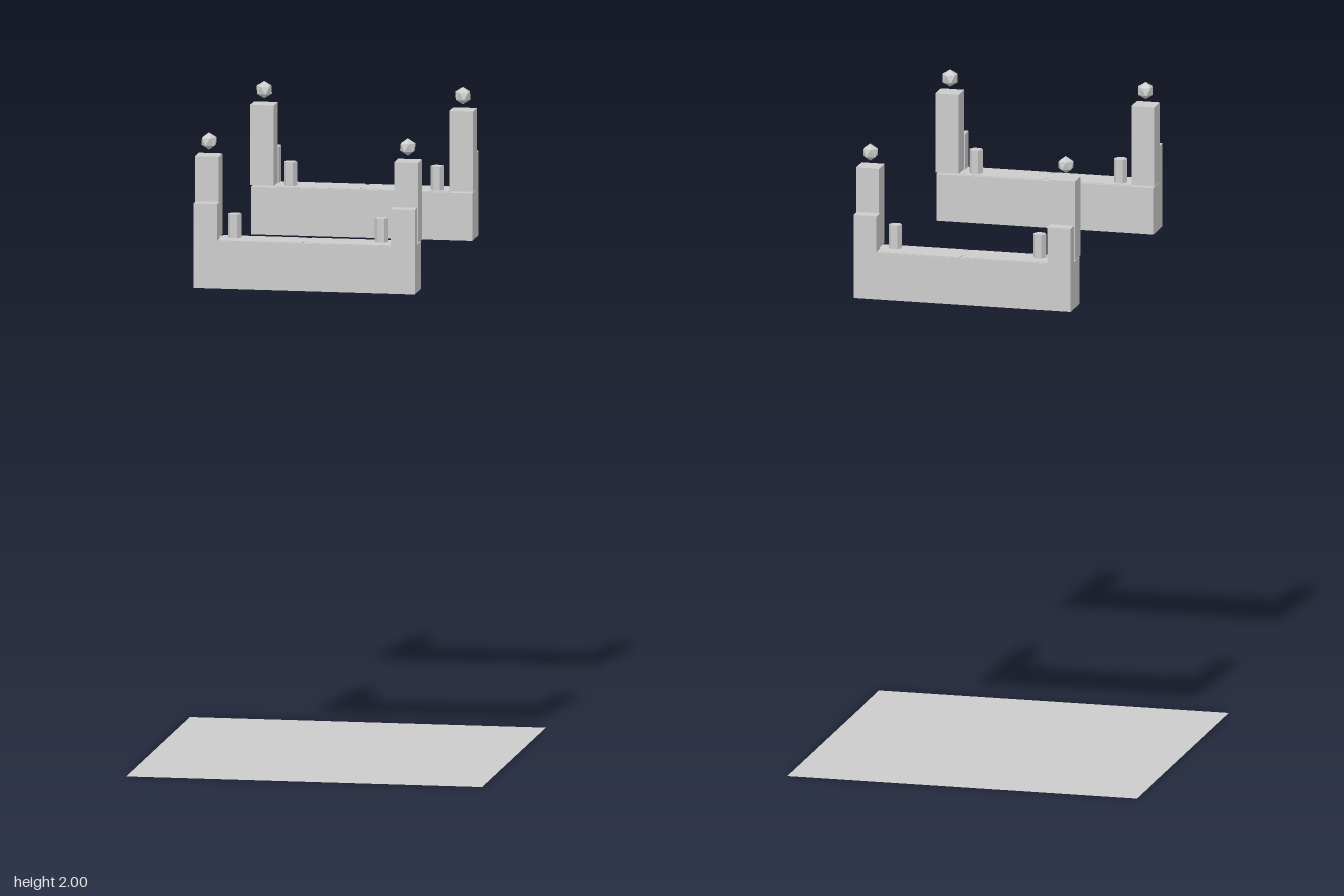
import * as THREE from 'three';

export function createModel() {
  const model = new THREE.Group();
  const grey = new THREE.MeshStandardMaterial({ color: 0xcccccc });
  grey.name = 'light grey';
  const greySheet = new THREE.MeshStandardMaterial({ color: 0xcccccc, side: THREE.DoubleSide });
  greySheet.name = 'light grey sheet';

  const add = (parent, name, geometry, material = grey) => {
    const mesh = new THREE.Mesh(geometry, material);
    mesh.name = name;
    parent.add(mesh);
    return mesh;
  };
  // box given by its minimum and maximum corners
  const box = (x0, y0, z0, x1, y1, z1) =>
    new THREE.BoxGeometry(x1 - x0, y1 - y0, z1 - z0)
      .translate((x0 + x1) / 2, (y0 + y1) / 2, (z0 + z1) / 2);

  // flat ground sheet
  add(model, 'groundSheet', new THREE.PlaneGeometry(1.11, 1.11).rotateX(-Math.PI / 2), greySheet);

  // floor panel with a rounded slot in each long edge
  const panelShape = () => {
    const w = 0.271, a = 0.453, b = 0.552, r = 0.007, d = 0.02;
    const s = new THREE.Shape();
    s.moveTo(-w, a);
    s.lineTo(-r, a);
    s.lineTo(-r, a + d);
    s.absarc(0, a + d, r, Math.PI, 0, true);
    s.lineTo(r, a);
    s.lineTo(w, a);
    s.lineTo(w, b);
    s.lineTo(r, b);
    s.lineTo(r, b - d);
    s.absarc(0, b - d, r, 0, -Math.PI, true);
    s.lineTo(-r, b);
    s.lineTo(-w, b);
    return s;
  };

  // one raised wall; the outer side faces +z
  const makeWall = (name) => {
    const wall = new THREE.Group();
    wall.name = name;
    add(wall, 'beam', box(-0.345, 1.527, 0.447, 0.345, 1.675, 0.555));
    const panel = new THREE.ExtrudeGeometry(panelShape(), { depth: 0.002, bevelEnabled: false, curveSegments: 6 });
    add(wall, 'floorPanel', panel.rotateX(Math.PI / 2).translate(0, 1.677, 0));

    for (const s of [-1, 1]) {
      const side = s > 0 ? 'left' : 'right';
      const span = (a, b, y0, z0, y1, z1) =>
        box(Math.min(s * a, s * b), y0, z0, Math.max(s * a, s * b), y1, z1);
      add(wall, side + 'Post', span(0.274, 0.348, 1.68, 0.446, 1.93, 0.513));
      add(wall, side + 'Shoulder', span(0.271, 0.345, 1.675, 0.513, 1.79, 0.555));
      // hexagonal peg with corners along x
      add(wall, side + 'Peg', new THREE.CylinderGeometry(0.021, 0.021, 0.075, 6)
        .toNonIndexed().rotateY(Math.PI / 6).translate(s * 0.229, 1.7135, 0.487))
        .geometry.computeVertexNormals();
      // faceted ball, standing on a corner and hovering above the post
      const ball = new THREE.IcosahedronGeometry(0.027, 0)
        .rotateX(-Math.atan((1 + Math.sqrt(5)) / 2))
        .rotateY(Math.PI / 2)
        .translate(s * 0.31, 1.973, 0.48);
      add(wall, side + 'Ball', ball);
    }
    return wall;
  };

  const front = makeWall('frontWall');
  const back = makeWall('backWall');
  back.rotation.y = Math.PI;
  model.add(front, back);
  return model;
}
